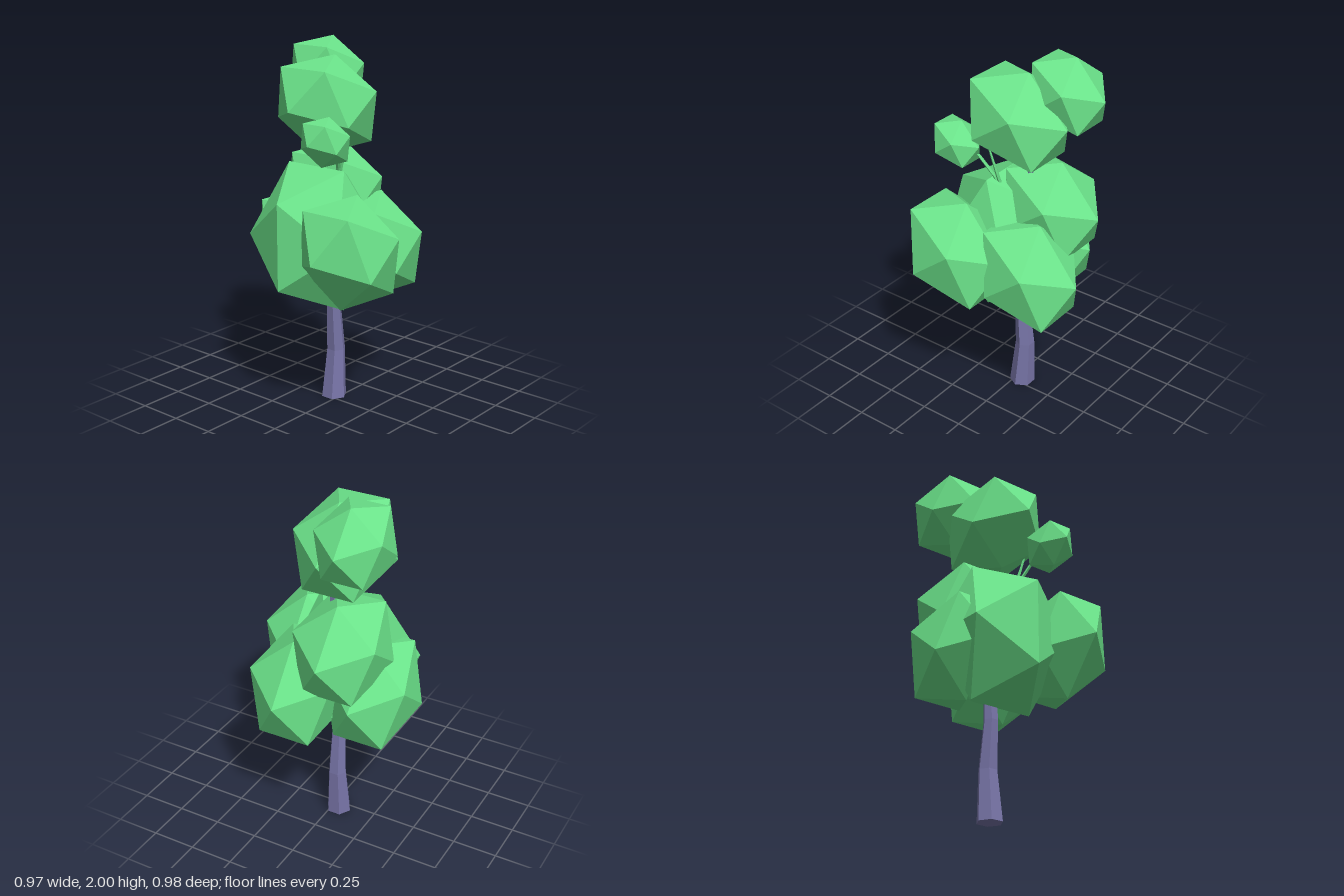
import * as THREE from 'three';

const leafMat = new THREE.MeshStandardMaterial({ color: 0x6be38a, flatShading: true });
const barkMat = new THREE.MeshStandardMaterial({ color: 0x7875a8, flatShading: true });

// Leaf clump: icosahedron with one corner turned to +z, leaning slightly,
// fitted to the given centre and half extents
function leafClump(name, [cx, cy, cz], [hx, hy, hz]) {
  const geo = new THREE.IcosahedronGeometry(1, 0);
  geo.rotateX(Math.atan(2 / (1 + Math.sqrt(5))));
  const lean = new THREE.Matrix4().set(
    hx / 0.851, 0, 0, 0,
    0, hy / 0.894, 0, 0,
    0, 0.25 * hz, hz, 0,
    0, 0, 0, 1);
  geo.applyMatrix4(lean);
  geo.computeVertexNormals();
  const mesh = new THREE.Mesh(geo, leafMat);
  mesh.name = name;
  mesh.position.set(cx, cy, cz);
  return mesh;
}

// Bent, tapering stem through rings of [x, y, z, radius]
function stem(name, rings, sides, material) {
  const n = rings.length - 1;
  const geo = new THREE.CylinderGeometry(1, 1, 1, sides, n, false, Math.PI / sides);
  const pos = geo.attributes.position;
  for (let i = 0; i < pos.count; i++) {
    const [x, y, z, r] = rings[Math.round((pos.getY(i) + 0.5) * n)];
    pos.setXYZ(i, x + pos.getX(i) * r, y, z + pos.getZ(i) * r);
  }
  geo.computeVertexNormals();
  const mesh = new THREE.Mesh(geo, material);
  mesh.name = name;
  return mesh;
}

export function createModel() {
  const tree = new THREE.Group();
  tree.name = 'tree';

  // Trunk
  tree.add(stem('trunk', [
    [-0.04, 0, -0.042, 0.072],
    [-0.04, 0.28, -0.06, 0.053],
    [-0.038, 0.55, -0.038, 0.041],
    [-0.038, 1.0, -0.065, 0.032],
    [-0.038, 1.38, -0.093, 0.025],
    [-0.04, 1.7, -0.1, 0.018],
  ], 6, barkMat));

  // Twigs holding the small clump
  tree.add(stem('frontTwig', [
    [0.05, 1.28, 0.03, 0.013], [0.075, 1.36, 0.06, 0.012], [0.12, 1.48, 0.13, 0.01],
  ], 5, leafMat));
  tree.add(stem('backTwig', [
    [0.05, 1.28, 0.03, 0.012], [0.08, 1.38, 0.04, 0.01], [0.12, 1.55, 0.065, 0.005],
  ], 5, leafMat));

  // Large upright clump in the middle of the crown
  const core = new THREE.Mesh(new THREE.IcosahedronGeometry(1, 0), leafMat);
  core.name = 'coreClump';
  core.scale.set(0.31, 0.385, 0.314).divideScalar(0.851);
  core.position.set(-0.065, 0.965, 0.076);
  tree.add(core);

  // Surrounding clumps: name, centre, half extents
  const clumps = [
    ['topClump', [-0.213, 1.8, -0.193], [0.188, 0.202, 0.228]],
    ['upperClump', [-0.052, 1.672, 0.003], [0.242, 0.257, 0.308]],
    ['twigClump', [0.145, 1.535, 0.25], [0.118, 0.126, 0.142]],
    ['backClump', [-0.13, 1.172, -0.16], [0.24, 0.268, 0.3]],
    ['frontLeftClump', [0.247, 0.955, 0.183], [0.236, 0.297, 0.307]],
    ['rightClump', [-0.25, 0.888, -0.04], [0.235, 0.295, 0.3]],
    ['backLeftClump', [0.113, 0.888, -0.195], [0.245, 0.295, 0.3]],
  ];
  for (const c of clumps) tree.add(leafClump(...c));

  return tree;
}
